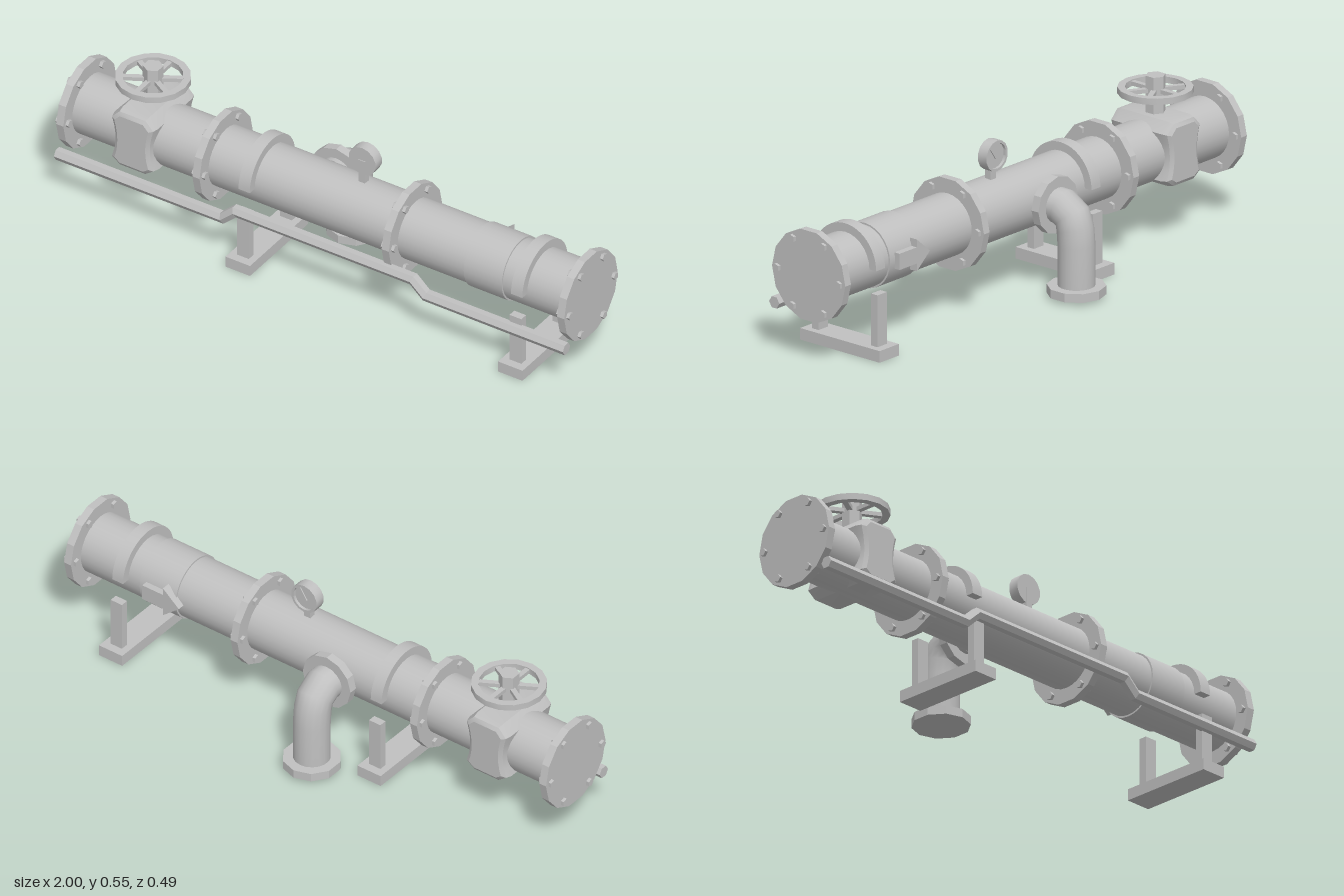
import * as THREE from 'three';
import { toCreasedNormals } from 'three/addons/utils/BufferGeometryUtils.js';

const AXIS_Y = 0.3, AXIS_Z = 0.076, PIPE_R = 0.106;

// Straight-sided path whose tube rings fall exactly on the given points
class PolyPath extends THREE.Curve {
  constructor(points) { super(); this.p = points.map(q => new THREE.Vector3(...q)); }
  getPoint(t, target = new THREE.Vector3()) {
    const n = this.p.length - 1, i = Math.min(Math.floor(t * n + 1e-6), n - 1);
    return target.copy(this.p[i]).lerp(this.p[i + 1], t * n - i);
  }
  getPointAt(t, target) { return this.getPoint(t, target); }
  getTangentAt(t, target = new THREE.Vector3()) {
    const n = this.p.length - 1, i = Math.round(t * n);
    target.set(0, 0, 0);
    if (i > 0) target.add(this.p[i].clone().sub(this.p[i - 1]).normalize());
    if (i < n) target.add(this.p[i + 1].clone().sub(this.p[i]).normalize());
    return target.normalize();
  }
}

export function createModel() {
  const model = new THREE.Group();
  model.name = 'pipeAssembly';
  const metal = new THREE.MeshStandardMaterial({ color: 0xc0c0c0 });
  metal.name = 'grey metal';

  const add = (name, geo, x = 0, y = 0, z = 0, parent = model) => {
    const mesh = new THREE.Mesh(geo, metal);
    mesh.name = name;
    mesh.position.set(x, y, z);
    parent.add(mesh);
    return mesh;
  };
  const group = (name, x = 0, y = 0, z = 0) => {
    const g = new THREE.Group();
    g.name = name;
    g.position.set(x, y, z);
    model.add(g);
    return g;
  };
  const box = (w, h, d) => new THREE.BoxGeometry(w, h, d);
  const cyl = (r, h, sides) => new THREE.CylinderGeometry(r, r, h, sides);
  const crease = (geo, angle = 0.7) => toCreasedNormals(geo, angle);
  const faceted = geo => toCreasedNormals(geo, 0.1);
  const alongX = geo => geo.rotateZ(Math.PI / 2);
  const alongZ = geo => geo.rotateX(Math.PI / 2);

  // Main pipe
  add('mainPipe', alongX(cyl(PIPE_R, 1.94, 28)), 0, AXIS_Y, AXIS_Z);

  // Bolted flanges
  for (const x of [-0.975, -0.445, 0.292, 0.975]) {
    const flange = group('flange', x, AXIS_Y, AXIS_Z);
    add('flangeDisc', faceted(alongX(cyl(0.159, 0.028, 14))), 0, 0, 0, flange);
    for (let i = 0; i < 6; i++) {
      const a = i * Math.PI / 3;
      add('bolt', faceted(alongX(cyl(0.014, 0.05, 5))), 0, 0.134 * Math.sin(a), 0.134 * Math.cos(a), flange);
    }
  }

  // Gate valve body with pinched sides and bevelled ends
  const pinched = new THREE.Shape();
  pinched.moveTo(-0.045, -0.085);
  pinched.lineTo(0.045, -0.085);
  pinched.lineTo(0.066, -0.07);
  pinched.quadraticCurveTo(0.042, 0, 0.066, 0.08);
  pinched.lineTo(0.045, 0.102);
  pinched.lineTo(-0.045, 0.102);
  pinched.lineTo(-0.066, 0.08);
  pinched.quadraticCurveTo(-0.042, 0, -0.066, -0.07);
  const body = new THREE.ExtrudeGeometry(pinched, {
    depth: 0.2, bevelSize: 0.018, bevelThickness: 0.03, bevelSegments: 2, curveSegments: 6,
  }).translate(0, 0, -0.1);
  const valve = group('valve', -0.717, 0, 0.074);
  add('valveBody', crease(body, 0.5), 0, AXIS_Y, 0, valve);
  add('valveStem', faceted(cyl(0.034, 0.145, 6)), 0, 0.473, 0, valve);

  // Handwheel
  const rim = new THREE.Shape().absarc(0, 0, 0.125, 0, Math.PI * 2);
  rim.holes.push(new THREE.Path().absarc(0, 0, 0.1, 0, Math.PI * 2, true));
  const rimGeo = new THREE.ExtrudeGeometry(rim, { depth: 0.022, bevelEnabled: false, curveSegments: 8 });
  add('handwheelRim', crease(alongZ(rimGeo)), 0, 0.506, 0, valve);
  for (let i = 0; i < 3; i++) {
    add('handwheelSpoke', box(0.21, 0.014, 0.018), 0, 0.495, 0, valve).rotation.y = Math.PI / 6 + i * Math.PI / 3;
  }

  // Supports: foot, two posts and a strap over the pipe
  const arch = new THREE.Shape();
  arch.absarc(0, 0, 0.135, 0, Math.PI);
  arch.absarc(0, 0, PIPE_R - 0.003, Math.PI, 0, true);
  for (const x of [-0.273, 0.788]) {
    const support = group('support', x, 0, AXIS_Z);
    add('foot', box(0.095, 0.04, 0.345), 0, 0.02, 0, support);
    for (const s of [-1, 1]) add('post', box(0.046, 0.18, 0.028), 0, 0.129, s * 0.128, support);
    const strap = new THREE.ExtrudeGeometry(arch, { depth: 0.044, bevelEnabled: false, curveSegments: 14 });
    add('strap', crease(strap.translate(0, 0, -0.022).rotateY(Math.PI / 2)), 0, AXIS_Y, 0, support);
  }

  // Side rail with a raised middle run
  const railZ = 0.224, low = 0.175, high = 0.22;
  const railPath = [[-0.99, low], [-0.345, low], [-0.295, high], [0.395, high], [0.445, low], [0.99, low]];
  const rail = new THREE.TubeGeometry(new PolyPath(railPath.map(([x, y]) => [x, y, railZ])), 5, 0.022, 6);
  add('sideRail', faceted(rail));
  for (const s of [-1, 1]) add('railEnd', faceted(alongX(cyl(0.022, 0.004, 6))), s * 0.989, low, railZ);

  // Outlet elbow with its two flanges
  const ex = -0.077, ez = -0.147;
  const elbowPath = [[0.297, -0.02], [0.297, -0.09], [0.273, -0.129], [0.235, -0.142], [0.18, ez], [0.02, ez]];
  const elbow = new THREE.TubeGeometry(new PolyPath(elbowPath.map(([y, z]) => [ex, y, z])), 5, 0.062, 18);
  add('outletElbow', elbow);
  add('outletFlange', faceted(cyl(0.098, 0.03, 10)), ex, 0.026, ez);
  add('branchFlange', faceted(alongZ(cyl(0.098, 0.03, 12))), ex, 0.297, -0.053);

  // Marker band and raised flow arrow on the back
  add('markerBand', alongX(cyl(0.112, 0.148, 28)), 0.641, AXIS_Y, AXIS_Z);
  const arrow = new THREE.Shape();
  arrow.moveTo(0.54, 0);
  for (const [x, y] of [[0.605, 0.055], [0.605, 0.028], [0.69, 0.028], [0.69, -0.028], [0.605, -0.028], [0.605, -0.055]]) arrow.lineTo(x, y);
  arrow.closePath();
  add('flowArrow', new THREE.ExtrudeGeometry(arrow, { depth: 0.03, bevelEnabled: false }), 0, AXIS_Y, -0.055);

  // Pressure gauge, its dial facing the back
  const gauge = group('gauge', 0.1, 0, 0);
  add('gaugeStem', box(0.026, 0.095, 0.024), 0, 0.444, 0.07, gauge);
  const profile = [[0, 0], [0.053, 0], [0.053, 0.038], [0.044, 0.038], [0.044, 0.028], [0, 0.028]];
  const dial = new THREE.LatheGeometry(profile.map(q => new THREE.Vector2(...q)), 14);
  add('gaugeDial', crease(dial.rotateX(-Math.PI / 2)), 0, 0.488, 0.079, gauge);
  add('gaugeNeedle', box(0.008, 0.05, 0.006), 0.01, 0.498, 0.05, gauge).rotation.z = -0.6;

  return model;
}
